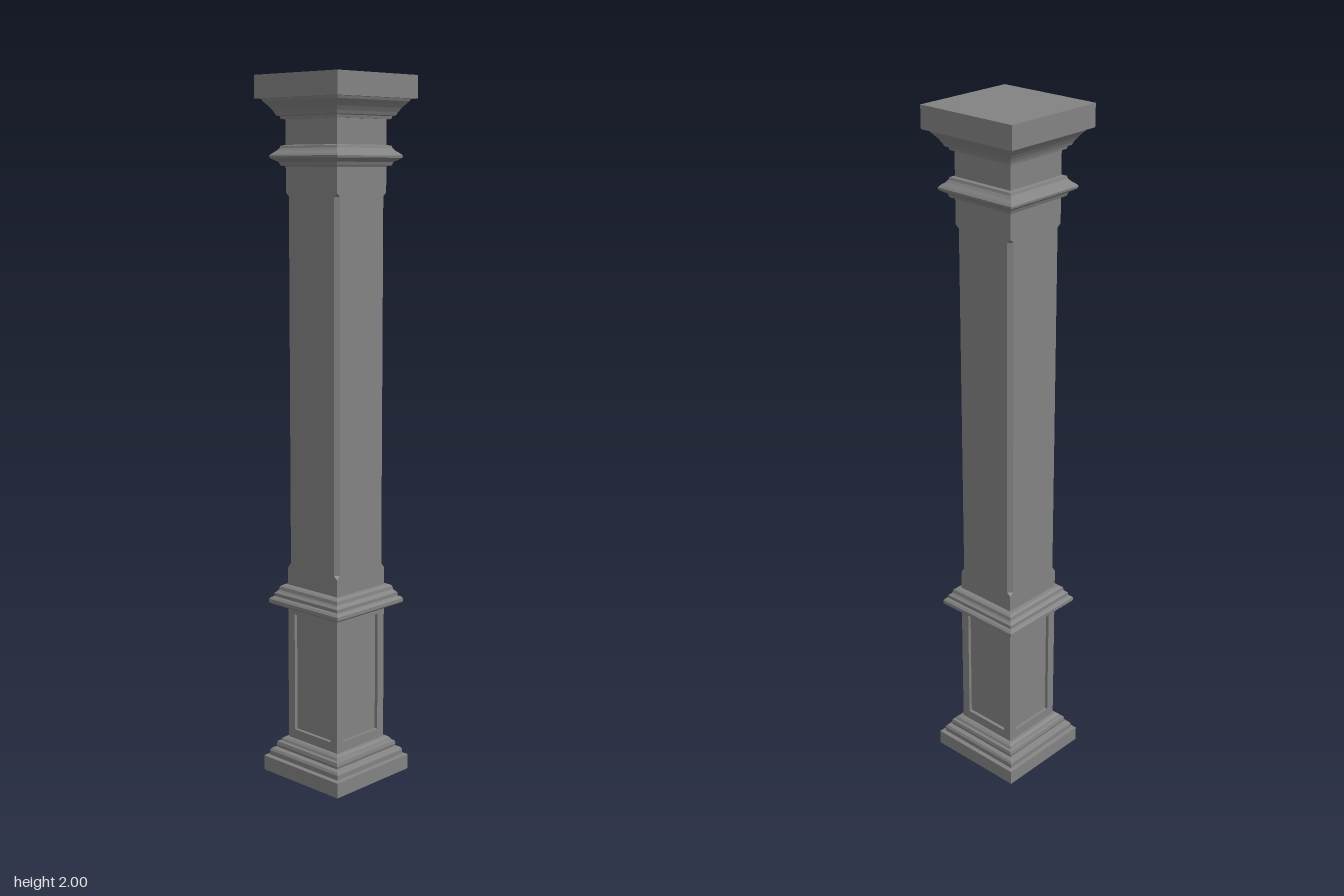
import * as THREE from 'three';

const material = new THREE.MeshStandardMaterial({ color: 0x828282, flatShading: true });

// Square moulding swept from a profile of [half width, height], bottom to top.
function squareMoulding(name, profile) {
  const points = profile.map(([h, y]) => new THREE.Vector2(h * Math.SQRT2, y));
  const geometry = new THREE.LatheGeometry(points, 4, Math.PI / 4).toNonIndexed();
  geometry.computeVertexNormals();
  const mesh = new THREE.Mesh(geometry, material);
  mesh.name = name;
  return mesh;
}

// Square shaft whose corners are cut by the amount in each [height, cut] section.
function chamferedShaft(name, h, sections) {
  const positions = [], index = [];
  for (const [y, c] of sections) {
    const k = h - c;
    for (const [x, z] of [[-k, h], [k, h], [h, k], [h, -k], [k, -h], [-k, -h], [-h, -k], [-h, k]]) {
      positions.push(x, y, z);
    }
  }
  for (let j = 0; j < sections.length - 1; j++) {
    for (let i = 0; i < 8; i++) {
      const a = j * 8 + i, b = j * 8 + (i + 1) % 8;
      index.push(a, b, b + 8, a, b + 8, a + 8);
    }
  }
  let geometry = new THREE.BufferGeometry();
  geometry.setAttribute('position', new THREE.Float32BufferAttribute(positions, 3));
  geometry.setIndex(index);
  geometry = geometry.toNonIndexed();
  geometry.computeVertexNormals();
  const mesh = new THREE.Mesh(geometry, material);
  mesh.name = name;
  return mesh;
}

function rectangle(path, x, y0, y1) {
  path.moveTo(-x, y0);
  path.lineTo(x, y0);
  path.lineTo(x, y1);
  path.lineTo(-x, y1);
  path.closePath();
  return path;
}

export function createModel() {
  const column = new THREE.Group();
  column.name = 'column';
  const half = 0.098, recess = 0.01;

  // Stepped base on a square plinth
  column.add(squareMoulding('base', [
    [0, 0], [0.15, 0], [0.15, 0.044], [0.138, 0.046], [0.138, 0.06], [0.134, 0.067],
    [0.122, 0.07], [0.124, 0.078], [0.122, 0.088], [0.115, 0.09], [0.112, 0.097],
    [0.106, 0.102], [half, 0.103], [0, 0.103],
  ]));

  // Pedestal: a core behind four framed, recessed panels
  const pedestal = new THREE.Group();
  pedestal.name = 'pedestal';
  const inner = half - recess;
  const core = new THREE.Mesh(new THREE.BoxGeometry(inner * 2, 0.42, inner * 2), material);
  core.name = 'pedestalPanels';
  core.position.y = 0.31;
  pedestal.add(core);
  const frameShape = rectangle(new THREE.Shape(), half, 0.1, 0.52);
  frameShape.holes.push(rectangle(new THREE.Path(), 0.072, 0.131, 0.481));
  const frameGeometry = new THREE.ExtrudeGeometry(frameShape, { depth: recess, bevelEnabled: false });
  frameGeometry.translate(0, 0, inner);
  for (let i = 0; i < 4; i++) {
    const frame = new THREE.Mesh(frameGeometry, material);
    frame.name = 'panelFrame';
    frame.rotation.y = i * Math.PI / 2;
    pedestal.add(frame);
  }
  column.add(pedestal);

  // Moulding between pedestal and shaft
  column.add(squareMoulding('pedestalMoulding', [
    [0, 0.508], [0.132, 0.508], [0.137, 0.513], [0.137, 0.523], [0.132, 0.529], [0.126, 0.531],
    [0.126, 0.541], [0.12, 0.546], [0.117, 0.55], [0.115, 0.56], [0.108, 0.565], [half, 0.566], [0, 0.566],
  ]));

  // Shaft with stopped chamfers
  column.add(chamferedShaft('shaft', half, [
    [0.55, 0.0002], [0.616, 0.0002], [0.626, 0.012], [1.674, 0.012], [1.684, 0.0002], [1.9, 0.0002],
  ]));

  // Neck ring
  column.add(squareMoulding('neckRing', [
    [0, 1.755], [half, 1.755], [0.108, 1.757], [0.112, 1.767], [0.122, 1.773], [0.129, 1.778],
    [0.13, 1.784], [0.125, 1.79], [0.116, 1.797], [0.11, 1.804], [0.108, 1.811], [half, 1.813], [0, 1.813],
  ]));

  // Flared capital under a square slab
  column.add(squareMoulding('capital', [
    [0, 1.882], [0.107, 1.882], [0.109, 1.89], [0.116, 1.892], [0.12, 1.901], [0.127, 1.912],
    [0.135, 1.922], [0.142, 1.93], [0.145, 1.937], [0.158, 1.937], [0.158, 2], [0, 2],
  ]));

  return column;
}
